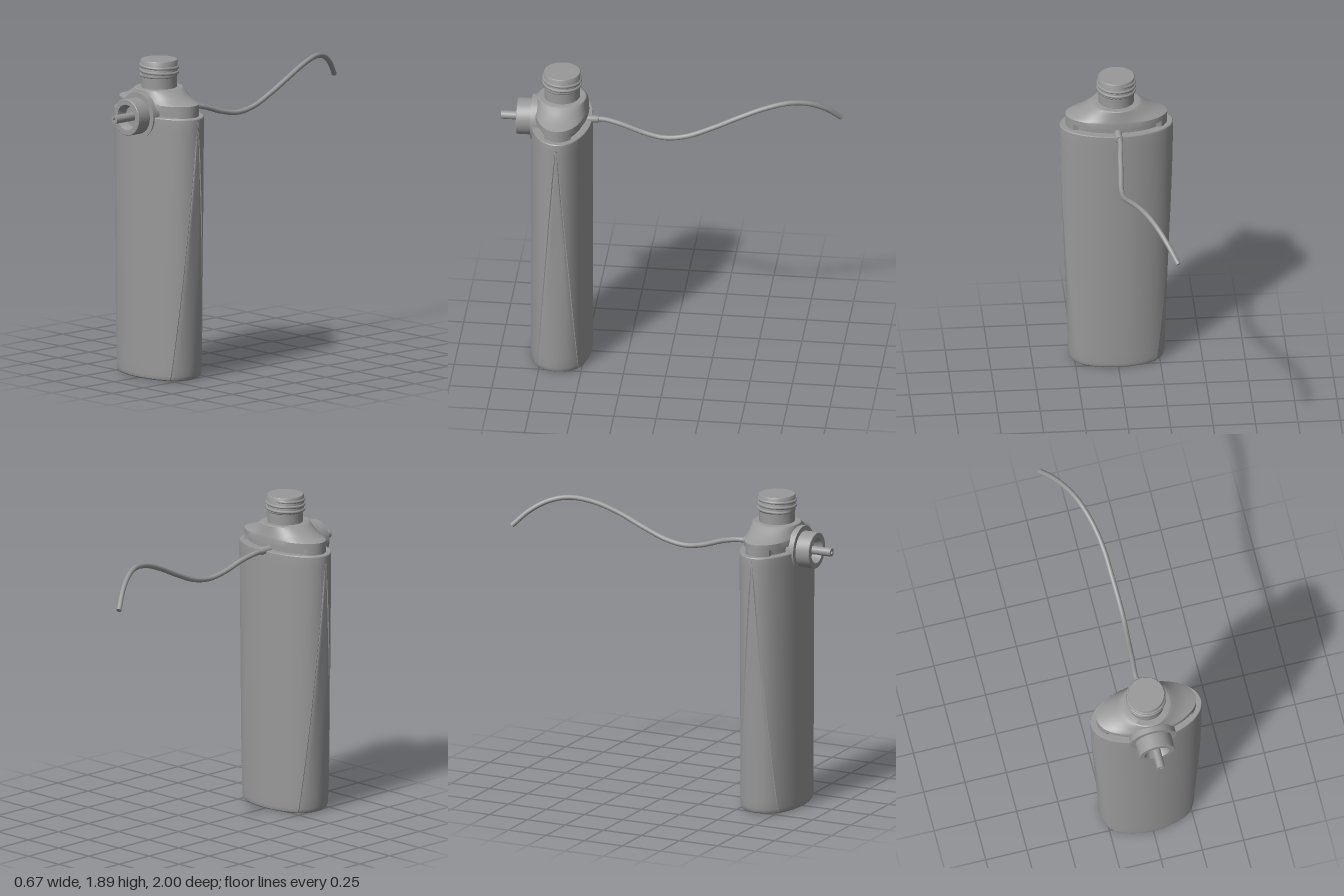
import * as THREE from 'three';
import { toCreasedNormals } from 'three/addons/utils/BufferGeometryUtils.js';

const material = new THREE.MeshStandardMaterial({ color: 0x999999, side: THREE.DoubleSide });
const CZ = 0.64; // depth of the bottle axis

function add(group, name, geometry) {
  const mesh = new THREE.Mesh(geometry, material);
  mesh.name = name;
  group.add(mesh);
  return mesh;
}

// crease at a larger scale so that close vertices stay distinct
function crease(geometry, angle) {
  return toCreasedNormals(geometry.scale(100, 100, 100), angle).scale(0.01, 0.01, 0.01);
}

// skin a stack of closed rings of [x, y, z] points
function loft(rings, angle) {
  const n = rings[0].length, index = [];
  for (let r = 0; r < rings.length - 1; r++) {
    for (let i = 0; i < n; i++) {
      const a = r * n + i, b = r * n + (i + 1) % n, c = b + n, d = a + n;
      index.push(a, d, b, b, d, c);
    }
  }
  const g = new THREE.BufferGeometry();
  g.setAttribute('position', new THREE.Float32BufferAttribute(rings.flat(2), 3));
  g.setIndex(index);
  return crease(g, angle);
}

// oval whose two ends are bulging panels, edged by fine grooves, that taper away upwards
function bodyRing(shapeY, y, scale) {
  const t = Math.min(shapeY / 1.56, 1), b = 0.18;
  const a = 0.315 + 0.02 * t;
  const zc = Math.max(0.12 * (1 - t), 0.001);
  const edge = Math.asin(zc / b), c = a * Math.cos(edge);
  const bulge = Math.max(0.283 + 0.052 * t - c, 0);
  const groove = Math.min(1, (1 - t) * 8);
  const half = [];
  for (let i = 0; i <= 16; i++) {
    const u = -1 + i / 8;
    half.push([c + bulge * (1 - u * u) - 0.006 * groove * u ** 8, zc * u]);
  }
  const start = edge + 0.002 + 0.03 * groove;
  for (let i = 0; i <= 40; i++) {
    const th = start + (Math.PI - 2 * start) * i / 40;
    half.push([a * Math.cos(th), b * Math.sin(th)]);
  }
  return [...half, ...half.map(([x, z]) => [-x, -z])].map(([x, z]) => [x * scale, y, z * scale]);
}

// oval ring; a waist is pulled in along the front and back but not at the two ends
function ellipseRing([y, a, b, inset = 0]) {
  return Array.from({ length: 72 }, (_, i) => {
    const th = i / 72 * Math.PI * 2;
    const d = Math.abs(Math.cos(th)) > 0.82 ? 0 : inset;
    return [(a - d) * Math.cos(th), y, (b - d) * Math.sin(th)];
  });
}

function lathe(points, segments = 48) {
  const g = new THREE.LatheGeometry(points.map(([r, y]) => new THREE.Vector2(r, y)), segments);
  return crease(g, 0.6);
}

export function createModel() {
  const model = new THREE.Group();
  model.name = 'sprayBottle';

  // bottle body: domed base, rounded foot, tapering wall, rim
  const rings = [
    [0.035, 0.001], [0.033, 0.25], [0.027, 0.5], [0.016, 0.72], [0.006, 0.84], [0.001, 0.89],
    [0, 0.92], [0.002, 0.955], [0.008, 0.982], [0.018, 0.997],
  ].map(([y, s]) => bodyRing(0, y, s));
  for (let i = 0; i <= 26; i++) {
    const y = 0.03 + 1.53 * i / 26;
    rings.push(bodyRing(y, y, 1));
  }
  rings.push(bodyRing(1.57, 1.57, 0.997), bodyRing(1.57, 1.575, 0.985), bodyRing(1.57, 1.575, 0.7));
  add(model, 'body', loft(rings, 0.3)).position.z = CZ;

  // moulding nub under the base
  const nub = add(model, 'baseNub', new THREE.SphereGeometry(0.018, 20, 12));
  nub.scale.y = 0.5;
  nub.position.set(0, 0.034, CZ);

  // shoulder: slotted waist, oval skirt, concave sweep to a round top
  const shoulder = [
    [1.565, 0.3, 0.157, 0.022], [1.612, 0.3, 0.157, 0.022], [1.612, 0.3, 0.157], [1.645, 0.3, 0.156],
    [1.652, 0.28, 0.155], [1.662, 0.245, 0.153], [1.678, 0.21, 0.15], [1.698, 0.175, 0.147],
    [1.718, 0.147, 0.144], [1.722, 0.138, 0.138], [1.722, 0.09, 0.09],
  ];
  add(model, 'shoulder', loft(shoulder.map(ellipseRing), 0.5)).position.z = CZ;

  // neck with a screw thread
  add(model, 'neck', lathe([[0.105, 1.71], [0.105, 1.785], [0.109, 1.79], [0.109, 1.88], [0.105, 1.886], [0, 1.886]]))
    .position.z = CZ;
  const helix = [];
  const turns = 2.5;
  for (let i = 0; i <= 60; i++) {
    const u = i / 60, th = u * turns * Math.PI * 2 + Math.PI / 2;
    const r = 0.109 - 0.012 * Math.max(0, 1 - Math.min(u, 1 - u) * 20);
    helix.push(new THREE.Vector3(r * Math.cos(th), 1.79 + 0.075 * u, r * Math.sin(th)));
  }
  add(model, 'neckThread', new THREE.TubeGeometry(new THREE.CatmullRomCurve3(helix), 180, 0.009, 8)).position.z = CZ;

  // front outlet: flange, cup and hollow pin, turned about the z axis
  const outlet = new THREE.Group();
  outlet.name = 'outlet';
  outlet.position.y = 1.57;
  outlet.rotation.x = Math.PI / 2;
  model.add(outlet);
  add(outlet, 'flange', lathe([[0, 0.765], [0.138, 0.765], [0.138, 0.815], [0, 0.815]]));
  add(outlet, 'cup', lathe([
    [0.108, 0.81], [0.108, 0.9], [0.105, 0.903], [0.076, 0.903], [0.063, 0.87], [0.06, 0.85], [0, 0.85],
  ]));
  add(outlet, 'pin', lathe([[0.025, 0.845], [0.025, 1], [0.01, 1], [0.01, 0.96], [0, 0.96]], 28));

  // rear hose connector
  const connector = add(model, 'hoseConnector', lathe([
    [0, 0.425], [0.02, 0.425], [0.022, 0.428], [0.022, 0.56],
  ], 28));
  connector.rotation.x = Math.PI / 2;
  connector.position.y = 1.575;

  // trailing hose
  const path = [
    [-0.005, 1.575, 0.45], [-0.005, 1.572, 0.38], [0.004, 1.55, 0.28], [0.012, 1.507, 0.15], [0.02, 1.486, 0.03],
    [0.02, 1.505, -0.1], [0.012, 1.565, -0.25], [0, 1.635, -0.4], [-0.03, 1.69, -0.55],
    [-0.075, 1.711, -0.69], [-0.125, 1.688, -0.8], [-0.18, 1.628, -0.9], [-0.235, 1.543, -0.985],
  ].map(p => new THREE.Vector3(...p));
  const curve = new THREE.CatmullRomCurve3(path);
  add(model, 'hose', new THREE.TubeGeometry(curve, 120, 0.015, 14));
  const cap = add(model, 'hoseEnd', new THREE.CircleGeometry(0.015, 14));
  cap.position.copy(path[path.length - 1]);
  cap.lookAt(cap.position.clone().add(curve.getTangent(1)));

  return model;
}
